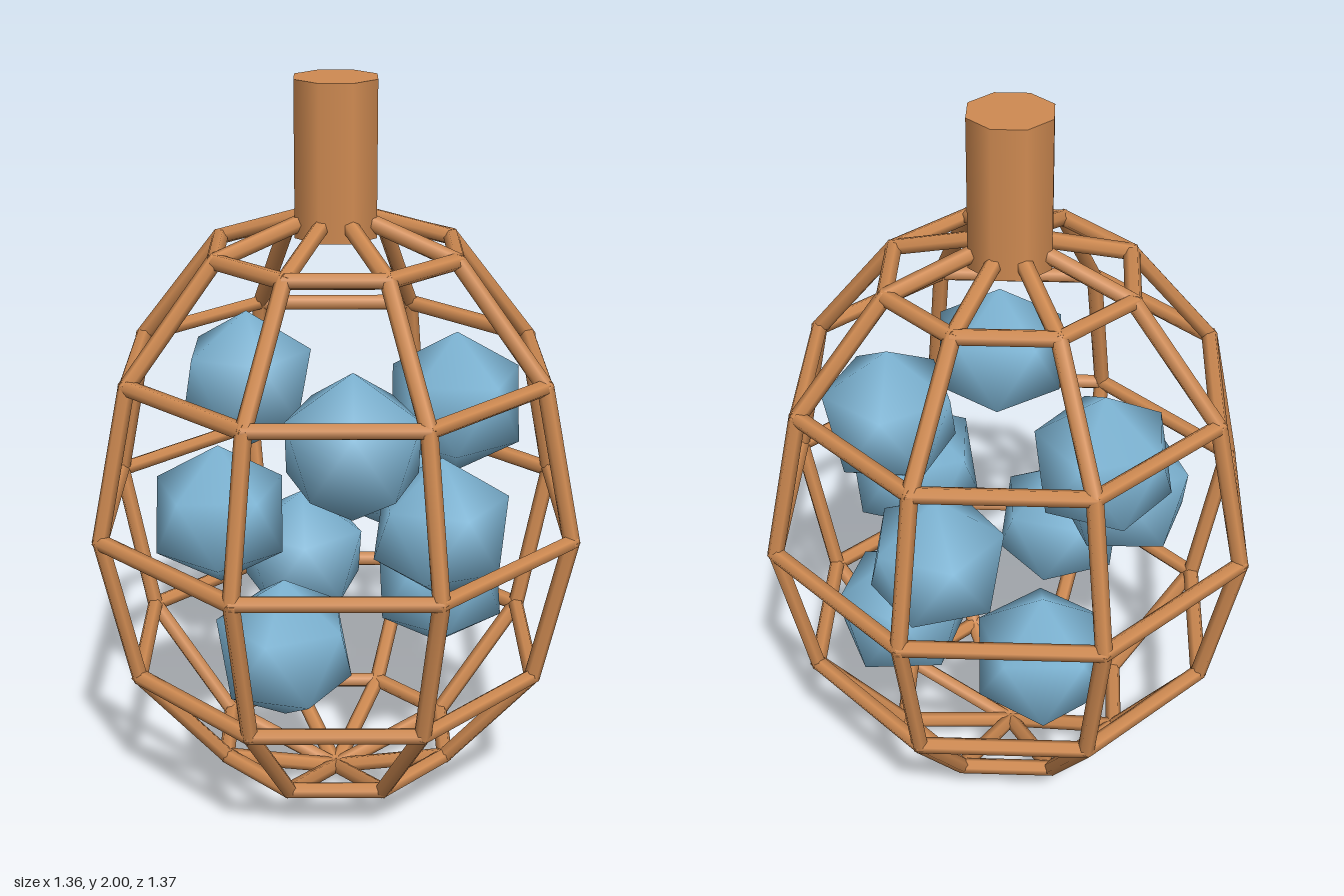
import * as THREE from 'three';

export function createModel() {
  const model = new THREE.Group();
  const copper = new THREE.MeshStandardMaterial({ name: 'copper', color: 0xd08b52 });
  const blue = new THREE.MeshStandardMaterial({ name: 'blue', color: 0x80b8d8 });

  const add = (parent, geometry, material, name) => {
    const mesh = new THREE.Mesh(geometry, material);
    mesh.name = name;
    parent.add(mesh);
    return mesh;
  };

  // Cage: struts along an eight-sided, six-band stretched sphere
  const cage = new THREE.Group();
  cage.name = 'cage';
  model.add(cage);
  const SIDES = 8, BANDS = 6, RADIUS = 0.66, HALF = 0.825, MID = 0.847, STRUT = 0.022;
  const node = (band, side) => {
    const a = (band / BANDS) * Math.PI, b = (side / SIDES) * Math.PI * 2;
    const r = RADIUS * Math.sin(a);
    return new THREE.Vector3(r * Math.cos(b), MID - HALF * Math.cos(a), r * Math.sin(b));
  };
  const up = new THREE.Vector3(0, 1, 0);
  const strut = (a, b, name) => {
    const dir = b.clone().sub(a);
    const geometry = new THREE.CylinderGeometry(STRUT, STRUT, dir.length() + 0.012, 6);
    const mesh = add(cage, geometry, copper, name);
    mesh.position.copy(a).add(b).multiplyScalar(0.5);
    mesh.quaternion.setFromUnitVectors(up, dir.normalize());
  };
  for (let side = 0; side < SIDES; side++) {
    for (let band = 0; band < BANDS; band++) {
      strut(node(band, side), node(band + 1, side), 'rib');
      if (band > 0) strut(node(band, side), node(band, side + 1), 'hoop');
    }
  }

  // Handle on top
  add(model, new THREE.CylinderGeometry(0.113, 0.113, 0.4, 8), copper, 'handle').position.y = 1.8;

  // Balls: smooth-shaded icosahedra standing on a corner, in a golden-angle spiral of three layers
  const ball = new THREE.IcosahedronGeometry(0.198, 0);
  ball.rotateZ(-Math.atan(2 / (1 + Math.sqrt(5))));
  const p = ball.attributes.position, n = new THREE.Vector3();
  for (let i = 0; i < p.count; i++) {
    n.fromBufferAttribute(p, i).normalize();
    ball.attributes.normal.setXYZ(i, n.x, n.y, n.z);
  }
  const layers = [0.56, 0.847, 1.135];
  for (let i = 0; i < 9; i++) {
    const a = THREE.MathUtils.degToRad(137.5 * i);
    const mesh = add(model, ball, blue, 'ball');
    mesh.position.set(0.32 * Math.cos(a), layers[Math.floor(i / 3)], 0.32 * Math.sin(a));
    mesh.rotation.y = 0.3 * i;
  }
  return model;
}
